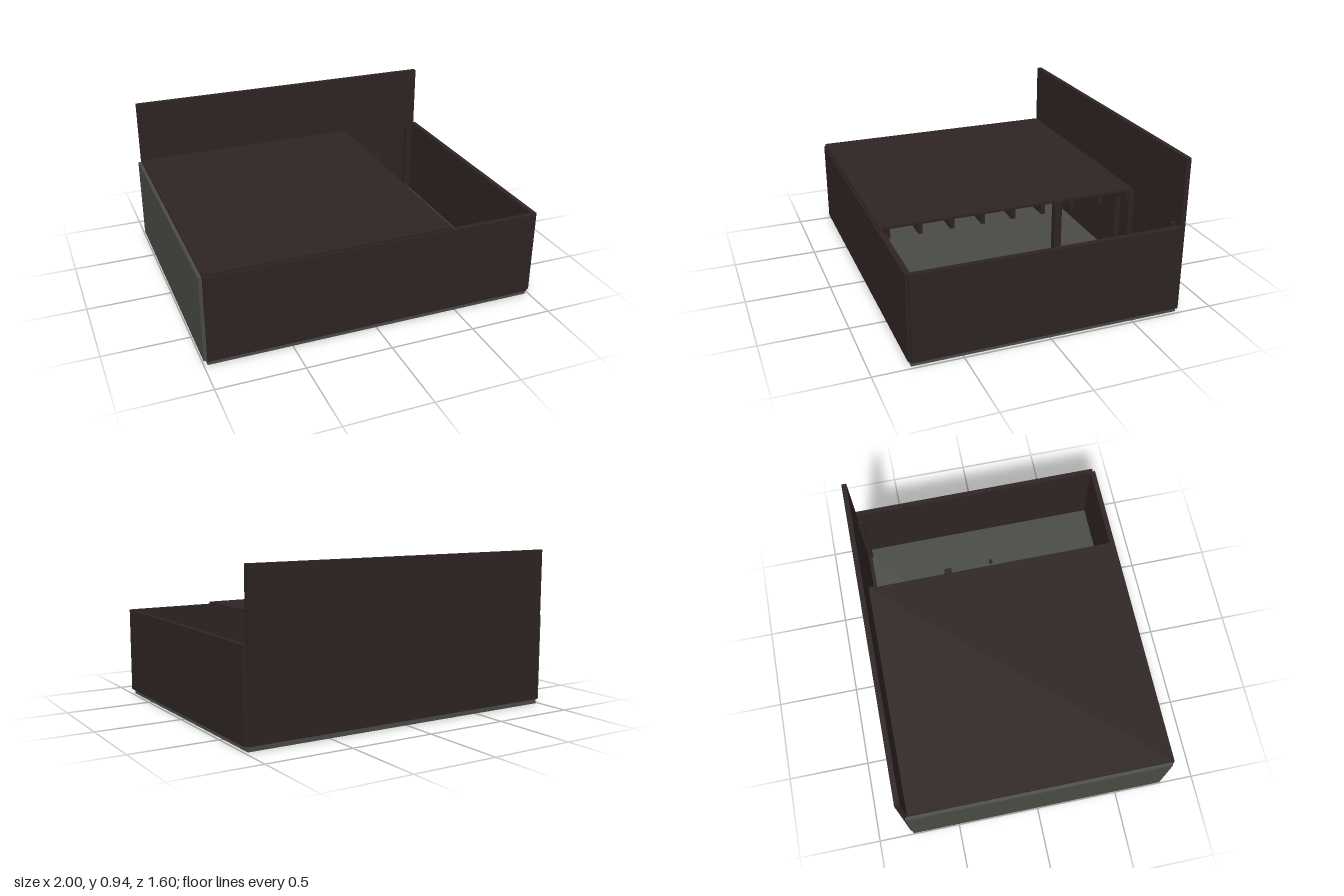
import * as THREE from 'three';

export function createModel() {
  const model = new THREE.Group();
  const brown = new THREE.MeshStandardMaterial({ color: 0x2e2423 });
  brown.name = 'dark brown wood';
  const grey = new THREE.MeshStandardMaterial({ color: 0x494b44 });
  grey.name = 'grey concrete';

  // Box given by its minimum and maximum on each axis
  function box(name, material, [x0, x1], [y0, y1], [z0, z1], parent = model) {
    const mesh = new THREE.Mesh(new THREE.BoxGeometry(x1 - x0, y1 - y0, z1 - z0), material);
    mesh.position.set((x0 + x1) / 2, (y0 + y1) / 2, (z0 + z1) / 2);
    mesh.name = name;
    parent.add(mesh);
  }
  function group(name) {
    const g = new THREE.Group();
    g.name = name;
    model.add(g);
    return g;
  }

  // Foundation and outer walls
  box('floorSlab', grey, [-0.98, 0.98], [0, 0.03], [-0.785, 0.785]);
  box('frontWall', brown, [-0.98, 0.98], [0.03, 0.54], [0.77, 0.8]);
  box('tallBackWall', brown, [-0.98, 0.98], [0.03, 0.935], [-0.8, -0.77]);
  box('leftWall', brown, [0.97, 1], [0.03, 0.54], [-0.785, 0.785]);
  box('rightWall', grey, [-1, -0.97], [0.03, 0.54], [-0.785, 0.785]);

  // Deck covering most of the room, leaving one side open
  box('deck', brown, [-0.98, 0.45], [0.54, 0.555], [-0.77, 0.79]);
  const joists = group('joists');
  for (let i = 0; i < 9; i++) {
    const z = -0.74 + i * 0.185;
    box('joist', brown, [-0.97, 0.445], [0.48, 0.54], [z - 0.012, z + 0.012], joists);
  }

  // Post at the deck edge
  box('deckPost', brown, [0.44, 0.48], [0.03, 0.56], [-0.29, -0.245]);

  // Frame along the back wall
  const frame = group('backFrame');
  for (const x of [0.3, 0.455, 0.92]) {
    box('stud', brown, [x - 0.01, x + 0.01], [0.03, 0.54], [-0.77, -0.74], frame);
  }
  box('sill', brown, [0.45, 0.95], [0.03, 0.06], [-0.77, -0.75], frame);

  // Small blocks lying on the floor
  const blocks = group('floorBlocks');
  for (const [x, z] of [[0.505, -0.05], [0.63, 0.015], [0.71, 0.045]]) {
    box('block', brown, [x - 0.011, x + 0.011], [0.03, 0.05], [z - 0.01, z + 0.01], blocks);
  }
  return model;
}
